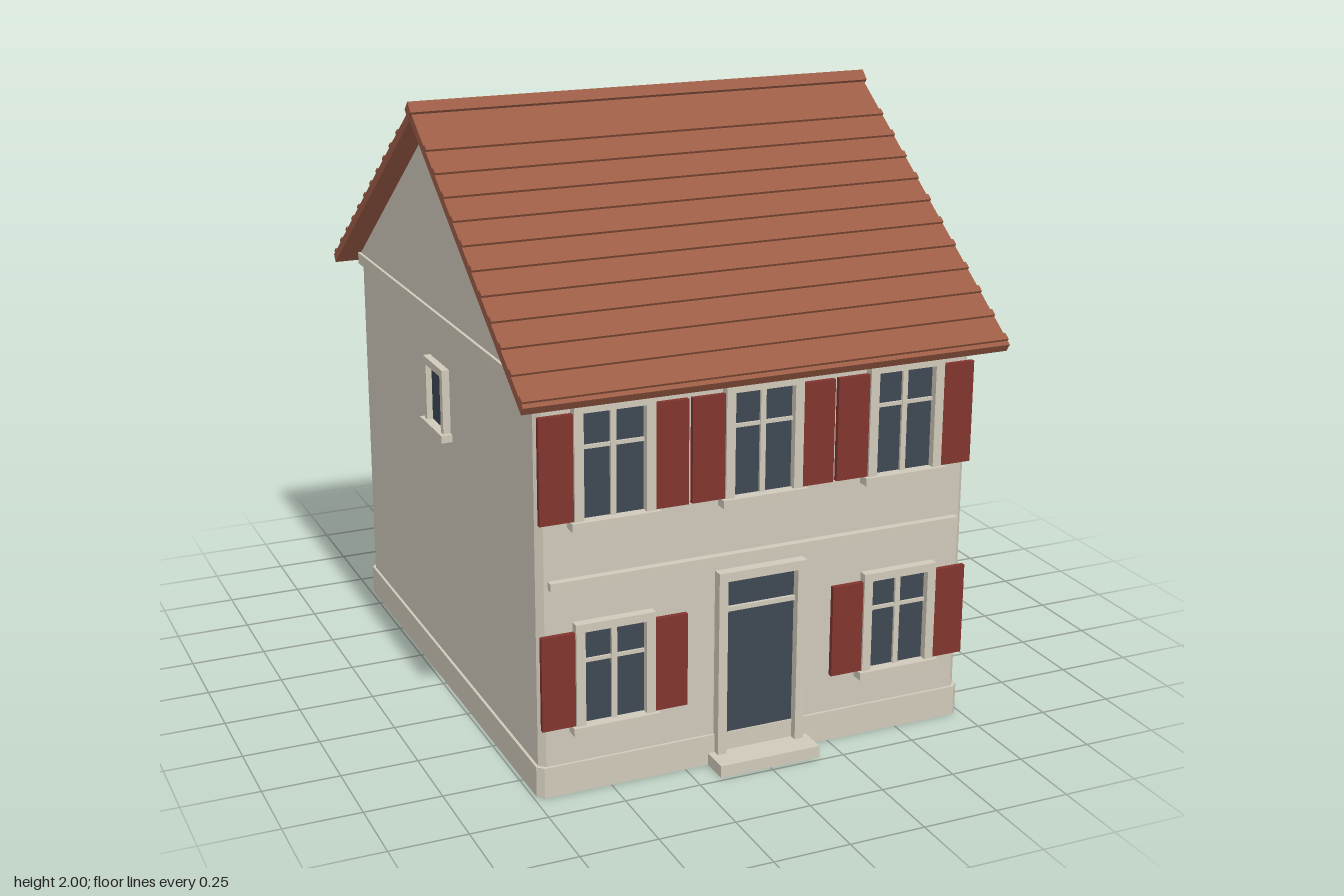
import * as THREE from 'three';

const mat = (name, color) => {
  const m = new THREE.MeshStandardMaterial({ color });
  m.name = name;
  return m;
};

export function createModel() {
  const wall = mat('plaster', 0xcfc7b9);
  const trim = mat('stone trim', 0xd0c9ba);
  const roofMat = mat('roof tile', 0x9c5c46);
  const red = mat('shutter red', 0x82352f);
  const glass = mat('dark glass', 0x3e4753);

  const house = new THREE.Group();
  house.name = 'house';

  const add = (parent, name, geo, material) => {
    const m = new THREE.Mesh(geo, material);
    m.name = name;
    parent.add(m);
    return m;
  };
  // box given by its limits on each axis
  const box = (parent, name, material, x0, x1, y0, y1, z0, z1) => {
    const m = add(parent, name, new THREE.BoxGeometry(x1 - x0, y1 - y0, z1 - z0), material);
    m.position.set((x0 + x1) / 2, (y0 + y1) / 2, (z0 + z1) / 2);
    return m;
  };
  // upright block with chamfered corners
  const block = (name, material, hx, hz, y0, y1, c = 0.02) => {
    const pts = [[hx - c, -hz], [hx, c - hz], [hx, hz - c], [hx - c, hz],
      [c - hx, hz], [-hx, hz - c], [-hx, c - hz], [c - hx, -hz]];
    const s = new THREE.Shape(pts.map(p => new THREE.Vector2(...p)));
    const g = new THREE.ExtrudeGeometry(s, { depth: y1 - y0, bevelEnabled: false });
    add(house, name, g.rotateX(-Math.PI / 2).translate(0, y0, 0), material);
  };

  // walls
  const HX = 0.73, HZ = 0.88;
  block('walls', wall, HX, HZ, 0.1, 1.29);
  block('plinth', trim, HX + 0.009, HZ + 0.009, 0, 0.1);
  block('cornice', trim, HX + 0.01, HZ + 0.013, 1.27, 1.31, 0.004);
  const tri = new THREE.Shape([[-0.885, 1.31], [0.885, 1.31], [0, 1.938]].map(p => new THREE.Vector2(...p)));
  const gable = new THREE.ExtrudeGeometry(tri, { depth: 2 * HX, bevelEnabled: false });
  add(house, 'gable', gable.translate(0, 0, -HX).rotateY(Math.PI / 2), wall);

  // one group per facade: local z = 0 is the wall plane, +z points outward
  const facade = (name, dist, angle) => {
    const g = new THREE.Group();
    g.name = name;
    g.rotation.y = angle;
    g.position.set(Math.sin(angle) * dist, 0, Math.cos(angle) * dist);
    house.add(g);
    return g;
  };
  const front = facade('frontFacade', HZ, 0);
  const back = facade('backFacade', HZ, Math.PI);
  const sides = [facade('leftFacade', HX, Math.PI / 2), facade('rightFacade', HX, -Math.PI / 2)];

  // raised surround around a dark pane, open at the bottom
  const opening = (parent, name, x, hw, y0, y1, border, top, depth) => {
    const g = new THREE.Group();
    g.name = name;
    g.position.x = x;
    parent.add(g);
    const o = hw + border;
    box(g, 'pane', glass, -hw, hw, y0, y1, 0, 0.005);
    box(g, 'leftJamb', trim, hw, o, y0, y1, 0, depth);
    box(g, 'rightJamb', trim, -o, -hw, y0, y1, 0, depth);
    box(g, 'lintel', trim, -o, o, y1, y1 + top, 0, depth);
    return g;
  };
  const windowUnit = (parent, x, y0, y1, { shutters = false, top = 0.027 } = {}) => {
    const g = opening(parent, 'window', x, 0.1, y0, y1, 0.03, top, 0.03);
    const bar = y0 + (y1 - y0) * 0.67;
    box(g, 'sill', trim, -0.143, 0.143, y0 - 0.026, y0, 0, 0.042);
    box(g, 'mullion', trim, -0.009, 0.009, y0, y1, 0, 0.014);
    box(g, 'glazingBar', trim, -0.1, 0.1, bar - 0.006, bar + 0.006, 0, 0.012);
    if (!shutters) return;
    for (const s of [-1, 1]) {
      const m = box(g, 'shutter', red, -0.054, 0.054, y0, y1, 0.008, 0.024);
      m.position.x = s * 0.185;
    }
  };

  // front: three windows above, two beside the door
  for (const x of [-0.49, 0, 0.49]) windowUnit(front, x, 0.89, 1.222, { shutters: true });
  for (const x of [-0.49, 0.49]) windowUnit(front, x, 0.23, 0.535, { shutters: true });
  const door = opening(front, 'frontDoor', 0, 0.12, 0.04, 0.62, 0.03, 0.03, 0.034);
  box(door, 'doorTransom', trim, -0.12, 0.12, 0.513, 0.528, 0, 0.016);
  box(door, 'doorStep', trim, -0.172, 0.172, 0, 0.04, 0, 0.105);
  box(front, 'floorBand', trim, -0.697, 0.697, 0.678, 0.705, 0, 0.024);

  // back: two windows above, a window and a door below
  for (const x of [-0.49, 0.49]) windowUnit(back, x, 0.89, 1.175);
  windowUnit(back, 0.49, 0.225, 0.507);
  const backDoor = opening(back, 'backDoor', -0.49, 0.105, 0.04, 0.51, 0.03, 0.028, 0.034);
  box(backDoor, 'doorStep', trim, -0.155, 0.155, 0, 0.04, 0, 0.105);

  // small attic window on each gable side
  for (const side of sides) {
    const g = opening(side, 'sideWindow', 0, 0.072, 0.928, 1.117, 0.026, 0.026, 0.025);
    box(g, 'sill', trim, -0.113, 0.113, 0.903, 0.928, 0, 0.037);
  }

  // roof: two sloping slabs with raised tile courses and a ridge
  for (const a of [0, Math.PI]) {
    const turn = new THREE.Group();
    turn.name = a ? 'backRoof' : 'frontRoof';
    turn.rotation.y = a;
    turn.position.y = 1.977;
    house.add(turn);
    const slope = new THREE.Group();
    slope.name = 'roofSlope';
    slope.rotation.x = THREE.MathUtils.degToRad(35);
    turn.add(slope);
    box(slope, 'roofSlab', roofMat, -0.803, 0.803, -0.03, 0, 0, 1.203);
    for (let i = 0; i < 11; i++) {
      const d = 0.178 + i * 0.0997;
      box(slope, 'tileCourse', roofMat, -0.803, 0.803, -0.005, 0.009, d - 0.012, d + 0.012);
    }
  }
  const ridge = add(house, 'ridge', new THREE.BoxGeometry(1.618, 0.042, 0.042), roofMat);
  ridge.rotation.x = Math.PI / 4;
  ridge.position.y = 1.97;

  return house;
}
